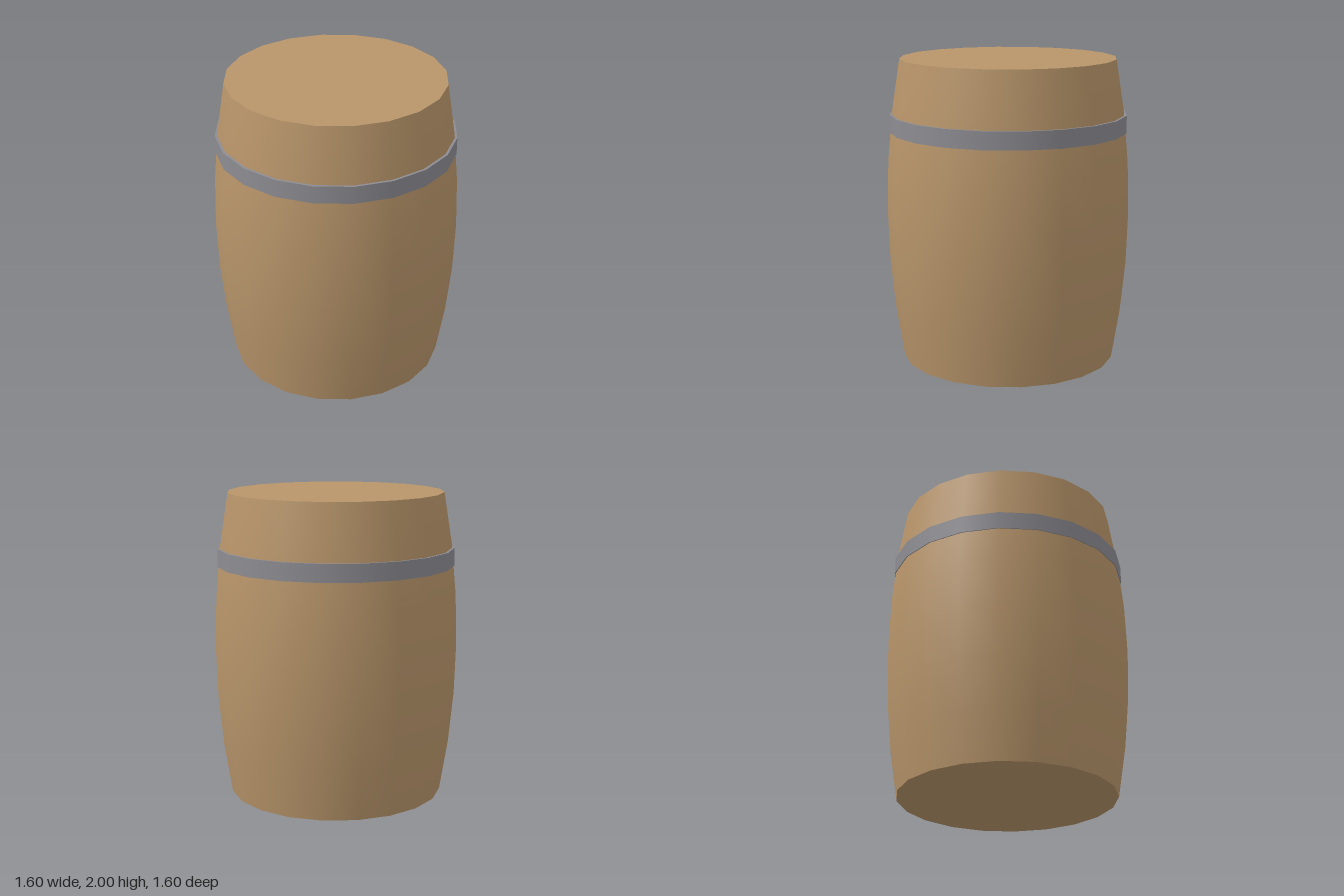
import * as THREE from 'three';

const SIDES = 20;
const wood = new THREE.MeshStandardMaterial({ color: 0xb8956a });
wood.name = 'wood';
const iron = new THREE.MeshStandardMaterial({ color: 0x8c8c92 });
iron.name = 'iron';

// Surface of revolution from [radius, height] pairs
function turned(name, profile, material) {
  const points = profile.map(([r, y]) => new THREE.Vector2(r, y));
  const mesh = new THREE.Mesh(new THREE.LatheGeometry(points, SIDES), material);
  mesh.name = name;
  return mesh;
}

export function createModel() {
  const barrel = new THREE.Group();
  barrel.name = 'barrel';

  // Bulging staves, widest at mid height
  const bulge = [];
  for (let i = 0; i <= 6; i++) {
    const y = i / 3;
    bulge.push([0.8 - 0.095 * (y - 1) ** 2, y]);
  }
  barrel.add(turned('staves', bulge, wood));

  // Flat lid and base
  for (const [name, y, tilt] of [['lid', 2, -1], ['base', 0, 1]]) {
    const disc = new THREE.Mesh(new THREE.CircleGeometry(0.705, SIDES), wood);
    disc.name = name;
    disc.rotation.x = tilt * Math.PI / 2;
    disc.position.y = y;
    barrel.add(disc);
  }

  // Hoop: one strip per side of its rectangular section, so edges stay sharp
  const hoop = new THREE.Group();
  hoop.name = 'hoop';
  const section = [[0.777, 1.525], [0.777, 1.64], [0.755, 1.64], [0.755, 1.525]];
  ['hoopOuter', 'hoopTop', 'hoopInner', 'hoopBottom'].forEach((name, i) => {
    hoop.add(turned(name, [section[i], section[(i + 1) % 4]], iron));
  });
  barrel.add(hoop);

  return barrel;
}
